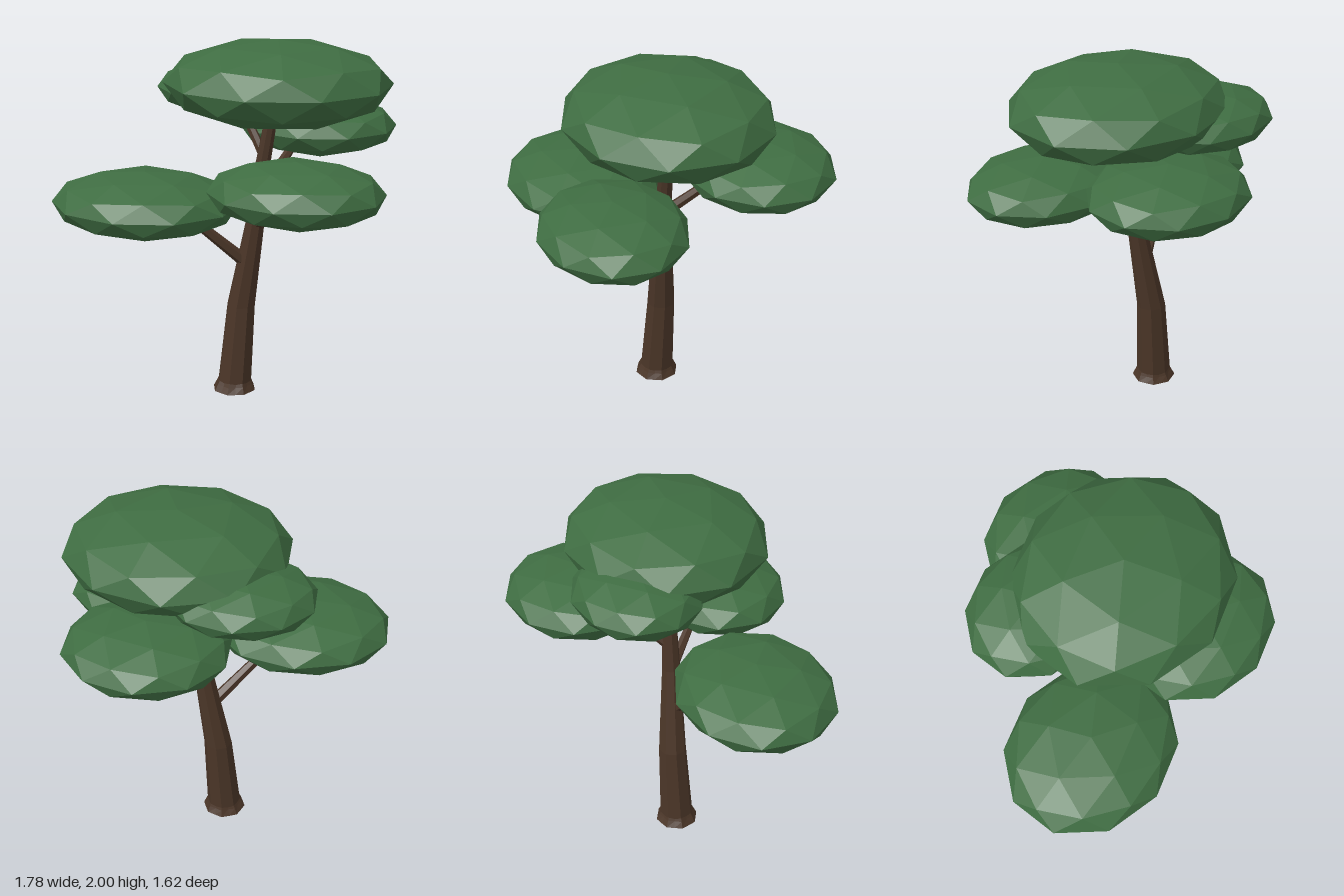
import * as THREE from 'three';

const bark = new THREE.MeshStandardMaterial({ color: 0x4a3527, flatShading: true });
const leaf = new THREE.MeshStandardMaterial({ color: 0x3f6d42, flatShading: true });

// Closed loft through level rings [x, y, z, radius]; shape(ring, side) scales single corners.
function loft(rings, sides, shape = () => 1) {
  const pos = [], index = [];
  rings.forEach(([x, y, z, r], i) => {
    for (let j = 0; j < sides; j++) {
      const a = (j / sides) * Math.PI * 2, k = r * shape(i, j);
      pos.push(x + Math.sin(a) * k, y, z + Math.cos(a) * k);
    }
  });
  for (let i = 0; i < rings.length - 1; i++) {
    for (let j = 0; j < sides; j++) {
      const a = i * sides + j, b = i * sides + (j + 1) % sides;
      index.push(a, b, b + sides, a, b + sides, a + sides);
    }
  }
  const top = (rings.length - 1) * sides;
  for (let j = 1; j < sides - 1; j++) {
    index.push(0, j + 1, j, top, top + j, top + j + 1);
  }
  const g = new THREE.BufferGeometry();
  g.setAttribute('position', new THREE.Float32BufferAttribute(pos, 3));
  g.setIndex(index);
  g.computeVertexNormals();
  return g;
}

// Tapered branch between two points
function branchGeometry(from, to, r0, r1) {
  const a = new THREE.Vector3(...from), b = new THREE.Vector3(...to);
  const dir = b.clone().sub(a);
  const g = new THREE.CylinderGeometry(r1, r0, dir.length(), 6);
  g.applyQuaternion(new THREE.Quaternion().setFromUnitVectors(new THREE.Vector3(0, 1, 0), dir.normalize()));
  g.translate(...a.add(b).multiplyScalar(0.5).toArray());
  return g;
}

// Flattened icosphere with a vertex at the top, and the upper ring starting at angle turn
function foliageGeometry([x, y, z], [rx, ry, rz], turn) {
  const g = new THREE.IcosahedronGeometry(1, 1);
  g.rotateZ(-Math.atan2(1, (1 + Math.sqrt(5)) / 2));
  g.rotateY(turn);
  g.scale(rx, ry, rz);
  g.translate(x, y, z);
  return g;
}

export function createModel() {
  const tree = new THREE.Group();
  tree.name = 'tree';
  const add = (name, geometry, material) => {
    const mesh = new THREE.Mesh(geometry, material);
    mesh.name = name;
    tree.add(mesh);
  };

  // Leaning trunk
  add('trunk', loft([
    [-0.01, 0.01, 0.055, 0.098],
    [0.025, 0.5, 0.038, 0.08],
    [0.112, 1.0, 0.055, 0.053],
    [0.14, 1.25, 0.052, 0.044],
    [0.215, 1.68, 0.05, 0.032],
  ], 8), bark);

  // Root flare with a scalloped upper edge
  add('rootFlare', loft([
    [-0.01, 0, 0.055, 0.122],
    [-0.008, 0.035, 0.055, 0.105],
    [-0.006, 0.07, 0.054, 0.09],
  ], 16, (i, j) => (j % 2 ? [0.93, 0.9, 0.9][i] : 1)), bark);

  // Branches: name, start, end, radii
  [
    ['lowerRightBranch', [0.06, 0.76, 0.06], [-0.25, 1.07, 0.23], 0.036, 0.024],
    ['lowerLeftBranch', [0.1, 0.96, 0.04], [0.34, 1.2, 0.27], 0.034, 0.022],
    ['backLeftBranch', [0.13, 1.14, 0.05], [0.27, 1.42, -0.25], 0.032, 0.022],
    ['backRightBranch', [0.17, 1.34, 0.05], [-0.05, 1.66, -0.1], 0.028, 0.02],
  ].forEach(([name, a, b, r0, r1]) => add(name, branchGeometry(a, b, r0, r1), bark));

  // Foliage pads: name, centre, radii, start angle of the ring
  [
    ['crownFoliage', [0.235, 1.77, 0.06], [0.615, 0.23, 0.555], 0],
    ['lowerRightFoliage', [-0.405, 1.14, 0.365], [0.51, 0.17, 0.435], Math.PI],
    ['lowerLeftFoliage', [0.445, 1.275, 0.415], [0.465, 0.165, 0.395], Math.PI],
    ['backLeftFoliage', [0.33, 1.46, -0.405], [0.445, 0.16, 0.405], Math.PI],
    ['backRightFoliage', [-0.125, 1.68, -0.2], [0.405, 0.15, 0.345], Math.PI],
  ].forEach(([name, centre, radii, turn]) => add(name, foliageGeometry(centre, radii, turn), leaf));

  return tree;
}
